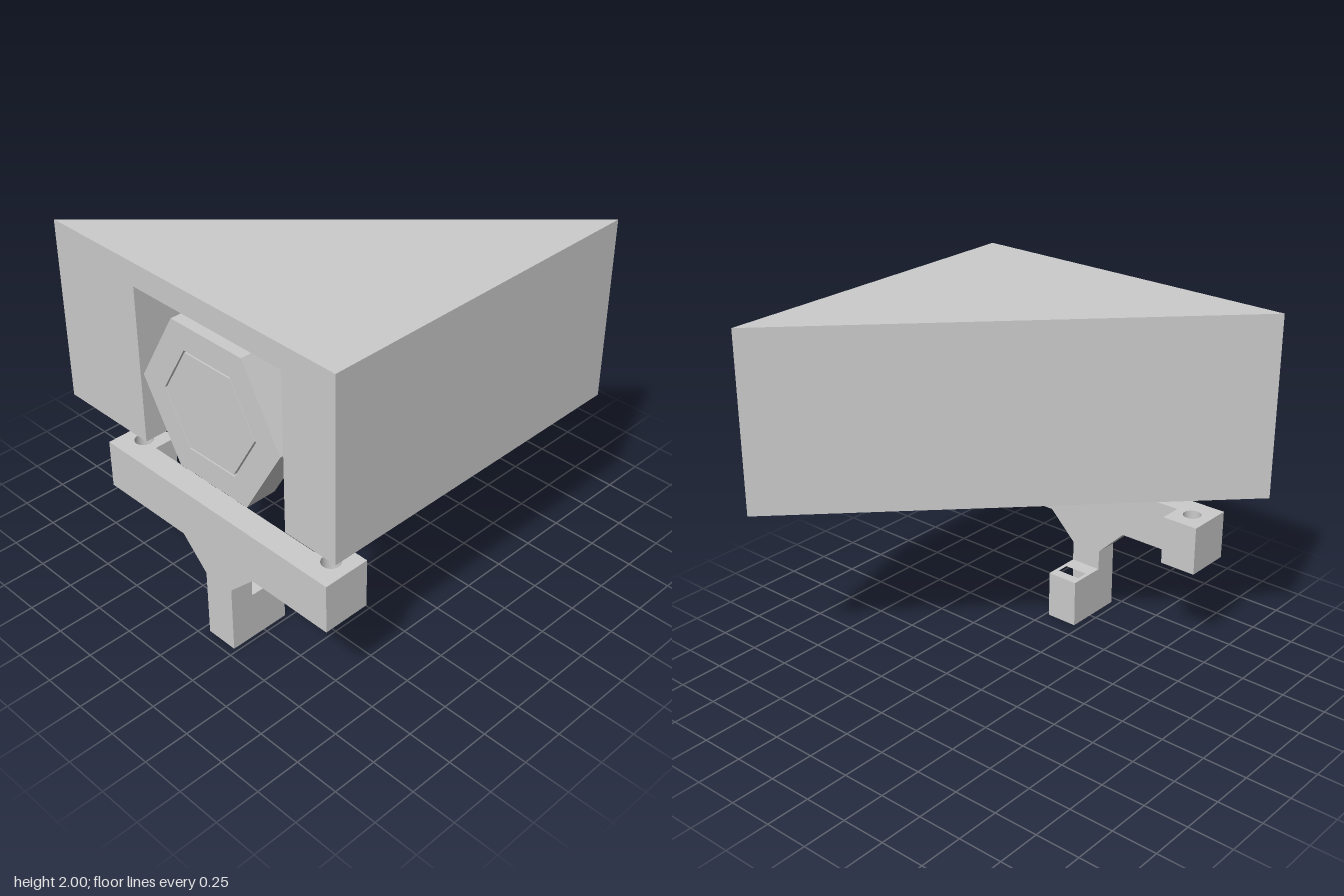
import * as THREE from 'three';

const grey = new THREE.MeshStandardMaterial({ color: 0xcccccc, flatShading: true });

function makeShape(points, holes = []) {
  const shape = new THREE.Shape(points.map(([u, v]) => new THREE.Vector2(u, v)));
  for (const hole of holes) shape.holes.push(new THREE.Path(hole.map(([u, v]) => new THREE.Vector2(u, v))));
  return shape;
}

function addMesh(parent, name, geometry) {
  const mesh = new THREE.Mesh(geometry, grey);
  mesh.name = name;
  parent.add(mesh);
}

// Plan outline in (x, z), raised from y0 to y1
function addSlab(parent, name, points, holes, y0, y1) {
  const flip = (list) => list.map(([x, z]) => [x, -z]);
  const g = new THREE.ExtrudeGeometry(makeShape(flip(points), holes.map(flip)), { depth: y1 - y0, bevelEnabled: false });
  g.rotateX(-Math.PI / 2);
  g.translate(0, y0, 0);
  addMesh(parent, name, g);
}

// Front outline in (x, y), running from z0 to z1
function addPlate(parent, name, points, holes, z0, z1) {
  const g = new THREE.ExtrudeGeometry(makeShape(points, holes), { depth: z1 - z0, bevelEnabled: false });
  g.translate(0, 0, z0);
  addMesh(parent, name, g);
}

function polygon(u, v, radius, sides) {
  return Array.from({ length: sides }, (_, i) => {
    const a = (i / sides) * Math.PI * 2;
    return [u + radius * Math.cos(a), v + radius * Math.sin(a)];
  });
}

const rect = (u0, u1, v0, v1) => [[u0, v0], [u1, v0], [u1, v1], [u0, v1]];

const F = 0.955; // front plane and half width
const CX = 0.135; // centre line of knob and post
const HOLE = 0.05;

function makeHousing() {
  const housing = new THREE.Group();
  housing.name = 'housing';
  // Wedge with a pocket open to the front and below
  const walls = [
    [-F, F], [-0.365, F], [-0.365, 0.64], [0.63, -0.38], [0.63, F], [F, F], [F, -F],
  ];
  const bores = [[0.785, 0.815], [-0.575, 0.815], [0.785, -0.57]].map(([x, z]) => polygon(x, z, HOLE, 32));
  addSlab(housing, 'drilledWalls', walls, bores, 0.99, 1.3);
  addSlab(housing, 'upperWalls', walls, [], 1.3, 1.87);
  addSlab(housing, 'roof', [[-F, F], [F, F], [F, -F]], [], 1.87, 2);
  return housing;
}

function makeKnob() {
  const knob = new THREE.Group();
  knob.name = 'hexKnob';
  const cy = 1.4;
  const hex = (r) => polygon(CX, cy, r, 6);
  addPlate(knob, 'outerRing', hex(0.475), [hex(0.317)], 0.78, F);
  // Core with a slot and a screw hole at the back
  addPlate(knob, 'coreFace', hex(0.307), [], 0.9, F);
  addPlate(knob, 'coreBore', hex(0.307), [polygon(CX, cy, 0.045, 24)], 0.86, 0.9);
  addPlate(knob, 'coreSlot', hex(0.307), [rect(CX - 0.1, CX + 0.1, cy - 0.24, cy + 0.24)], 0.78, 0.86);
  return knob;
}

function makeBracket() {
  const bracket = new THREE.Group();
  bracket.name = 'bracket';
  const back = 0.82;
  // Crossbar with a drilled tab at each end
  const bar = [
    [-0.685, F], [0.895, F], [0.895, 0.69], [0.685, 0.69], [0.685, back],
    [-0.475, back], [-0.475, 0.69], [-0.685, 0.69],
  ];
  const bores = [0.785, -0.575].map((x) => polygon(x, 0.815, HOLE, 32));
  addSlab(bracket, 'crossbar', bar, bores, 0.55, 0.825);

  // Post flaring into the crossbar
  const w = 0.093;
  addPlate(bracket, 'post', [
    [CX - w, 0], [CX + w, 0], [CX + w, 0.39], [CX + 0.255, 0.55], [CX - 0.255, 0.55], [CX - w, 0.39],
  ], [], back, F);

  // Foot reaching backwards, with a slot in its top
  const foot = rect(CX - w, CX + w, 0.602, back);
  addSlab(bracket, 'footBase', foot, [], 0, 0.12);
  addSlab(bracket, 'footSlot', foot, [rect(CX - 0.07, CX + 0.07, 0.66, 0.73)], 0.12, 0.275);
  return bracket;
}

export function createModel() {
  const model = new THREE.Group();
  model.name = 'wedgeMount';
  model.add(makeHousing(), makeKnob(), makeBracket());
  return model;
}
